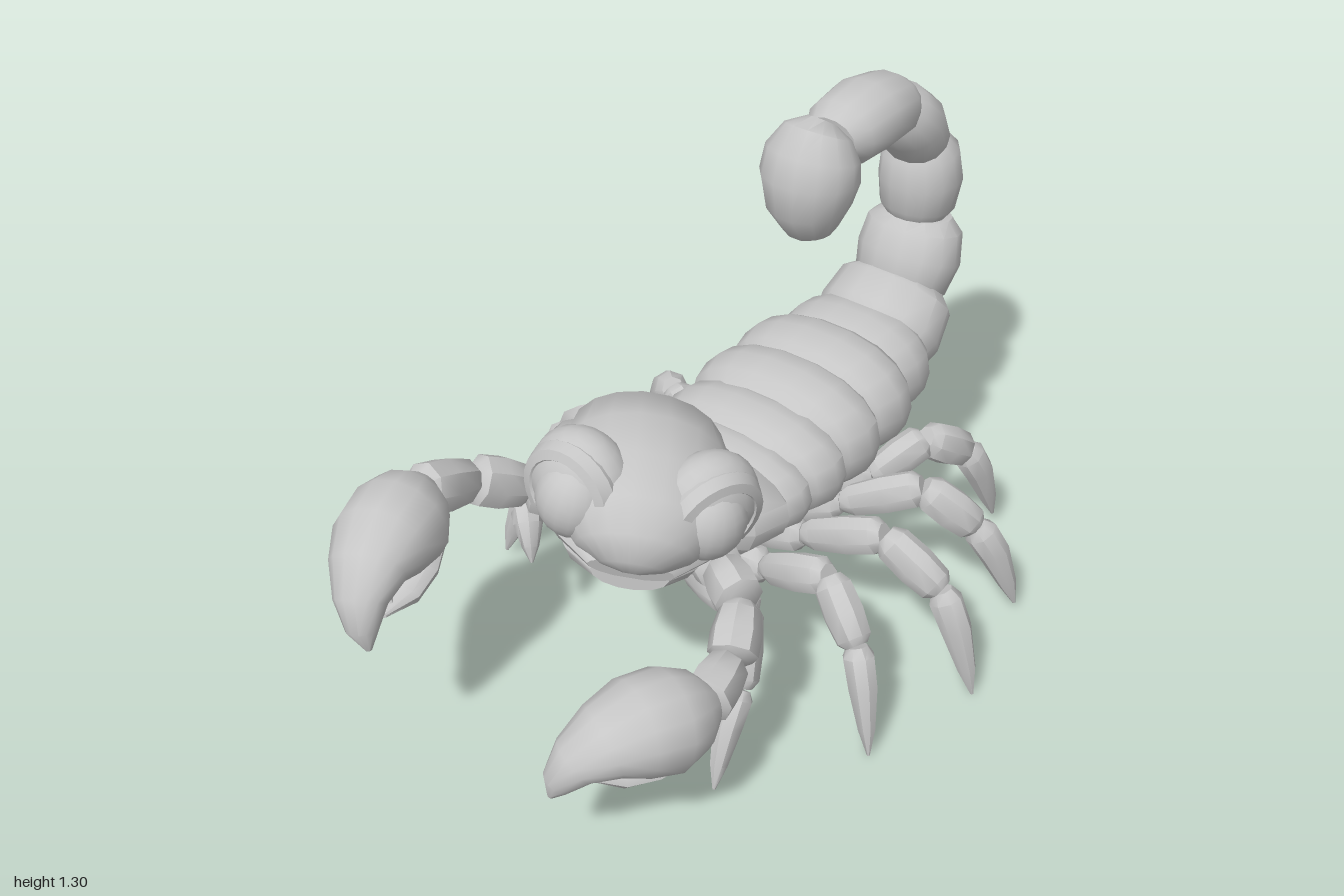
import * as THREE from 'three';
import { toCreasedNormals } from 'three/addons/utils/BufferGeometryUtils.js';

const V = (a) => new THREE.Vector3(a[0], a[1], a[2]);

// Closed skin over elliptical rings. Each ring: [x, y, z, halfWidth, halfHeight]
function loft(rings, side, sides = 12, square = 1) {
  const c = rings.map(V), pos = [], index = [], n = rings.length;
  rings.forEach((r, i) => {
    const t = c[Math.min(i + 1, n - 1)].clone().sub(c[Math.max(i - 1, 0)]).normalize();
    const s = side.clone().addScaledVector(t, -side.dot(t)).normalize();
    const u = t.clone().cross(s);
    for (let j = 0; j < sides; j++) {
      const a = (j / sides) * Math.PI * 2, ca = Math.cos(a), sa = Math.sin(a);
      const p = c[i].clone()
        .addScaledVector(s, Math.sign(ca) * Math.abs(ca) ** square * r[3])
        .addScaledVector(u, Math.sign(sa) * Math.abs(sa) ** square * (r[4] ?? r[3]));
      pos.push(p.x, p.y, p.z);
    }
  });
  pos.push(...c[0].toArray(), ...c[n - 1].toArray());
  for (let j = 0; j < sides; j++) {
    const k = (j + 1) % sides, e = (n - 1) * sides;
    for (let i = 0; i < n - 1; i++) {
      const a = i * sides + j, b = i * sides + k;
      index.push(a, b, b + sides, a, b + sides, a + sides);
    }
    index.push(n * sides, k, j, n * sides + 1, e + j, e + k);
  }
  const g = new THREE.BufferGeometry();
  g.setAttribute('position', new THREE.Float32BufferAttribute(pos, 3));
  g.setIndex(index);
  return toCreasedNormals(g, 0.75);
}

export function createModel() {
  const shell = new THREE.MeshStandardMaterial({ color: 0xc6c6c6 });
  shell.name = 'grey shell';
  const model = new THREE.Group();
  model.name = 'scorpion';
  const X = new THREE.Vector3(1, 0, 0);

  const add = (parent, name, geometry) => {
    const m = new THREE.Mesh(geometry, shell);
    m.name = name;
    parent.add(m);
    return m;
  };

  // One barrel-shaped limb joint from a to b, or a bowed, pointed one
  const joint = (parent, name, a, b, ra, rb, pointed = false) => {
    const A = V(a), B = V(b), d = B.clone().sub(A);
    const side = new THREE.Vector3(-d.z, 0, d.x).normalize();
    const prof = pointed
      ? [[0, 0.65], [0.12, 1], [0.45, 1], [0.8, 0.65], [1, 0.12]]
      : [[0, 0.6], [0.15, 0.95], [0.55, 1.08], [0.9, 1], [1, 0.65]];
    const rings = prof.map(([t, k]) => {
      const p = A.clone().lerp(B, t), r = (ra + (rb - ra) * t) * k;
      if (pointed) p.y += Math.sin(t * Math.PI) * 0.03;
      return [p.x, p.y, p.z, r * 0.9, r];
    });
    return add(parent, name, loft(rings, side, 8));
  };

  // Body: front shield and overlapping plates
  add(model, 'frontShield', loft([
    [0, 0.525, 0.28, 0.09, 0.05], [0, 0.51, 0.24, 0.155, 0.085], [0, 0.485, 0.14, 0.235, 0.12],
    [0, 0.465, 0.02, 0.248, 0.11], [0, 0.46, -0.03, 0.2, 0.08]], X, 18, 0.92));
  const plates = [ // z start, z end, centre y, half width, half height
    [0.04, -0.11, 0.46, 0.25, 0.12], [-0.07, -0.24, 0.47, 0.265, 0.14],
    [-0.2, -0.39, 0.485, 0.268, 0.16], [-0.35, -0.55, 0.5, 0.257, 0.16],
    [-0.49, -0.7, 0.51, 0.215, 0.145]];
  plates.forEach(([z0, z1, y, w, h]) => {
    // the lower half of each plate sits a little further forward
    const at = (t, k) => [0, y, z0 + (z1 - z0) * t, w * k, h * k];
    add(model, 'bodyPlate', loft([at(0, 0.78), at(0.2, 0.93), at(0.55, 1), at(0.82, 0.97), at(0.95, 0.88), at(1, 0.75)], X, 18, 0.9));
  });

  // Curled tail joints
  const tail = [ // z, y start; z, y end; half width, half height
    [-0.62, 0.49, -0.84, 0.64, 0.175, 0.135], [-0.81, 0.61, -0.895, 0.82, 0.14, 0.115],
    [-0.885, 0.815, -0.885, 1.04, 0.108, 0.105], [-0.885, 1.02, -0.735, 1.195, 0.098, 0.085],
    [-0.76, 1.2, -0.47, 1.205, 0.105, 0.09]];
  tail.forEach(([z0, y0, z1, y1, w, h]) => {
    const dz = z1 - z0, dy = y1 - y0, d = Math.hypot(dz, dy);
    const rings = [[0, 0.7], [0.14, 0.92], [0.5, 1.03], [0.86, 0.94], [1, 0.7]].map(([t, k]) => {
      const bow = Math.sin(t * Math.PI) * 0.015 / d;
      return [0, y0 + dy * t + dz * bow, z0 + dz * t - dy * bow, w * k, h * k];
    });
    add(model, 'tailJoint', loft(rings, X, 14, 0.95));
  });
  add(model, 'stingBulb', loft([
    [0, 1.275, -0.43, 0.04], [0, 1.255, -0.415, 0.085], [0, 1.205, -0.395, 0.12, 0.11],
    [0, 1.15, -0.385, 0.127, 0.117], [0, 1.08, -0.382, 0.108, 0.105], [0, 1.03, -0.395, 0.08, 0.075],
    [0, 0.995, -0.425, 0.048, 0.036], [0, 0.98, -0.47, 0.025, 0.018], [0, 0.975, -0.53, 0.004]], X, 14));

  // Underside
  add(model, 'breastPlate', loft([
    [0, 0.4, 0.24, 0.02, 0.015], [0, 0.37, 0.22, 0.07, 0.045], [0, 0.33, 0.14, 0.11, 0.06],
    [0, 0.31, -0.05, 0.12, 0.06], [0, 0.34, -0.28, 0.12, 0.06], [0, 0.39, -0.45, 0.1, 0.05]], X, 10));
  for (const s of [-1, 1]) {
    joint(model, 'comb', [s * 0.04, 0.29, -0.12], [s * 0.17, 0.26, -0.31], 0.035, 0.025);
    joint(model, 'mouthPincer', [s * 0.07, 0.44, 0.2], [s * 0.05, 0.41, 0.32], 0.055, 0.045, true);
  }

  // Walking legs: base z, knee, ankle, tip
  const legs = [
    [0.12, [0.3, 0.4, 0.27], [0.37, 0.25, 0.38], [0.385, 0.03, 0.5]],
    [0.03, [0.4, 0.4, 0.07], [0.52, 0.28, 0.12], [0.6, 0.01, 0.17]],
    [-0.09, [0.42, 0.4, -0.14], [0.58, 0.3, -0.155], [0.685, 0.01, -0.165]],
    [-0.2, [0.39, 0.4, -0.36], [0.51, 0.29, -0.43], [0.6, 0.03, -0.51]],
    [-0.3, [0.28, 0.4, -0.54], [0.33, 0.31, -0.67], [0.37, 0.05, -0.78]],
    [0.12, [-0.28, 0.42, 0.17], [-0.345, 0.4, 0.31], [-0.28, 0.3, 0.37]],
    [0.0, [-0.38, 0.4, 0.02], [-0.51, 0.28, 0.07], [-0.6, 0.03, 0.13]],
    [-0.1, [-0.42, 0.4, -0.13], [-0.58, 0.3, -0.115], [-0.68, 0.01, -0.1]],
    [-0.2, [-0.37, 0.41, -0.31], [-0.49, 0.29, -0.42], [-0.58, 0.04, -0.55]],
    [-0.3, [-0.28, 0.41, -0.6], [-0.32, 0.34, -0.7], [-0.37, 0.09, -0.84]]];
  legs.forEach(([z, knee, ankle, tip]) => {
    const s = Math.sign(knee[0]);
    const hip = [s * 0.2, 0.315, z * 0.5 + knee[2] * 0.5];
    const leg = new THREE.Group();
    leg.name = s > 0 ? 'leftLeg' : 'rightLeg';
    joint(leg, 'hip', [s * 0.02, 0.275, z], hip, 0.045, 0.05);
    joint(leg, 'thigh', hip, knee, 0.045, 0.05);
    joint(leg, 'shin', knee, ankle, 0.055, 0.048);
    joint(leg, 'foot', ankle, tip, 0.045, 0.036, true);
    model.add(leg);
  });

  // Claw arms: path, then yaw, pitch and roll of the claw
  const arms = [
    ['leftArm', [[0.1, 0.41, 0.18], [0.21, 0.46, 0.25], [0.32, 0.44, 0.31], [0.375, 0.37, 0.42], [0.405, 0.355, 0.56]], -0.33, -0.2, -0.25],
    ['rightArm', [[-0.1, 0.42, 0.18], [-0.2, 0.47, 0.26], [-0.31, 0.5, 0.33], [-0.37, 0.57, 0.46], [-0.365, 0.65, 0.645]], 0.3, 0, 0.2]];
  for (const [name, path, yaw, pitch, roll] of arms) {
    const arm = new THREE.Group();
    arm.name = name;
    for (let i = 0; i < 4; i++) joint(arm, 'armJoint', path[i], path[i + 1], 0.058, 0.068);
    const claw = new THREE.Group();
    claw.name = 'claw';
    claw.position.copy(V(path[4]));
    claw.rotation.set(pitch, yaw, roll, 'YXZ');
    add(claw, 'handAndUpperFinger', loft([
      [0, 0, -0.015, 0.05], [0, -0.005, 0.03, 0.095], [0, -0.015, 0.1, 0.125, 0.12], [0, -0.012, 0.19, 0.12, 0.105],
      [0, -0.03, 0.26, 0.095, 0.075], [0, -0.075, 0.32, 0.065, 0.05], [0, -0.135, 0.345, 0.04, 0.032],
      [0, -0.19, 0.345, 0.008]], X, 14));
    add(claw, 'lowerFinger', loft([
      [0, -0.04, 0.03, 0.06, 0.05], [0, -0.09, 0.06, 0.08, 0.055], [0, -0.14, 0.11, 0.07, 0.045],
      [0, -0.165, 0.18, 0.05, 0.03], [0, -0.16, 0.26, 0.008]], X, 10));
    for (let i = 0; i < 3; i++) {
      const tooth = add(claw, 'tooth', toCreasedNormals(new THREE.ConeGeometry(0.014, 0.04, 5), 0.5));
      tooth.position.set(0, -0.13, 0.165 + i * 0.03);
    }
    arm.add(claw);
    model.add(arm);
  }

  // Head, turned to its left and tilted
  const head = new THREE.Group();
  head.name = 'head';
  head.position.set(0.06, 0.68, 0.345);
  head.rotation.set(0.1, 0.61, -0.2, 'YXZ');
  add(head, 'skull', loft([
    [0, -0.02, -0.21, 0.13, 0.07], [0, 0, -0.17, 0.18, 0.12], [0, 0.01, -0.06, 0.205, 0.15],
    [0, 0.015, 0.06, 0.21, 0.15], [0, 0, 0.14, 0.185, 0.135], [0, -0.02, 0.195, 0.135, 0.105],
    [0, -0.04, 0.225, 0.075, 0.06], [0, -0.05, 0.235, 0.02, 0.015]], X, 18));
  add(head, 'hoodRim', loft([
    [0, -0.05, -0.225, 0.16, 0.03], [0, -0.045, -0.195, 0.215, 0.06], [0, -0.03, -0.12, 0.24, 0.07],
    [0, -0.035, 0.02, 0.225, 0.075], [0, -0.05, 0.14, 0.185, 0.06], [0, -0.06, 0.215, 0.1, 0.03]], X, 16));
  add(head, 'jaw', loft([
    [0, -0.075, -0.14, 0.1, 0.04], [0, -0.09, -0.08, 0.165, 0.06], [0, -0.095, 0.06, 0.19, 0.07],
    [0, -0.09, 0.15, 0.15, 0.062], [0, -0.08, 0.21, 0.09, 0.04]], X, 14));
  for (const s of [-1, 1]) {
    const socket = new THREE.Group();
    socket.name = s > 0 ? 'leftEye' : 'rightEye';
    socket.position.set(s * 0.15, 0.035, 0.105);
    socket.rotation.set(0, s * 0.61, 0);
    add(socket, 'eyeball', new THREE.SphereGeometry(0.1, 18, 14)).scale.set(0.93, 1.03, 0.9);
    // Raised mound that joins the eye to the skull
    const mound = add(socket, 'eyeMound', new THREE.SphereGeometry(0.13, 16, 12));
    mound.position.set(s * 0.015, 0.015, -0.035);
    mound.scale.set(1, 1.02, 0.75);
    const brow = add(socket, 'brow', toCreasedNormals(new THREE.TorusGeometry(0.102, 0.026, 7, 16, Math.PI * 1.3), 0.75));
    brow.position.set(s * 0.008, 0.01, 0.005);
    brow.rotation.z = -Math.PI * 0.15 - s * 0.3;
    brow.scale.z = 1.4;
    head.add(socket);
  }
  model.add(head);
  return model;
}
